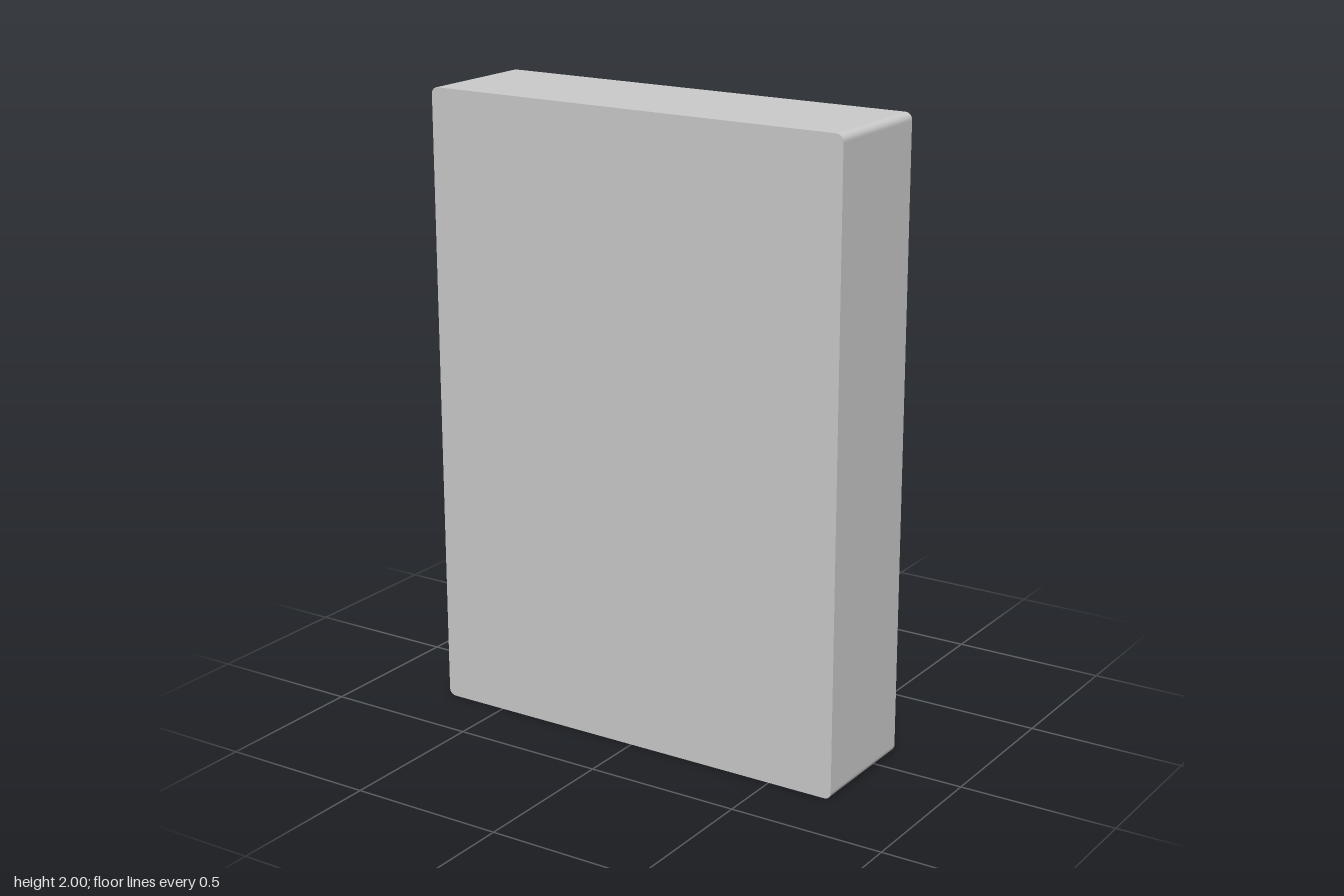
import * as THREE from 'three';

const material = new THREE.MeshStandardMaterial({ color: 0xcccccc });

// Rounded rectangle outline centred on (cx, cy)
function roundedRect(cx, cy, w, h, r, Type = THREE.Shape) {
  const s = new Type();
  const x = w / 2, y = h / 2, q = Math.PI / 2;
  s.absarc(cx + x - r, cy + y - r, r, 0, q);
  s.absarc(cx - x + r, cy + y - r, r, q, 2 * q);
  s.absarc(cx - x + r, cy - y + r, r, 2 * q, 3 * q);
  s.absarc(cx + x - r, cy - y + r, r, 3 * q, 4 * q);
  s.closePath();
  return s;
}

export function createModel() {
  const model = new THREE.Group();

  function add(name, geometry, x = 0, y = 0, z = 0) {
    const mesh = new THREE.Mesh(geometry, material);
    mesh.name = name;
    mesh.position.set(x, y, z);
    model.add(mesh);
    return mesh;
  }
  // Box given by its extents; zOut is the outer (most negative) face
  const slab = (name, x0, x1, y0, y1, zOut, zIn) =>
    add(name, new THREE.BoxGeometry(x1 - x0, y1 - y0, zIn - zOut),
      (x0 + x1) / 2, (y0 + y1) / 2, (zOut + zIn) / 2);
  // Disc whose axis runs along z
  const disc = (name, x, y, r, zOut, zIn) =>
    add(name, new THREE.CylinderGeometry(r, r, zIn - zOut, 32).rotateX(Math.PI / 2),
      x, y, (zOut + zIn) / 2);

  // Cabinet
  add('cabinet', new THREE.ExtrudeGeometry(roundedRect(0, 1, 1.43, 2, 0.022),
    { depth: 0.4, bevelEnabled: false, curveSegments: 3 }), 0, 0, -0.11);

  // Raised frame around the display
  const frame = roundedRect(0, 1.625, 1.3, 0.59, 0.1);
  frame.holes.push(roundedRect(0, 1.625, 1.22, 0.51, 0.075, THREE.Path));
  add('displayFrame', new THREE.ExtrudeGeometry(frame,
    { depth: 0.035, bevelEnabled: false, curveSegments: 4 }), 0, 0, -0.143);

  // Control panel and keypad plate
  slab('controlPanel', -0.23, 0.635, 0.06, 1.27, -0.13, -0.105);
  slab('keypadPlate', -0.153, 0.583, 0.6, 1.23, -0.15, -0.12);

  // Keypad: four columns, three rows
  const key = new THREE.ExtrudeGeometry(roundedRect(0, 0, 0.104, 0.084, 0.018), {
    depth: 0.03, bevelThickness: 0.008, bevelSize: 0.008, bevelSegments: 2, curveSegments: 4,
  });
  for (const x of [0, 0.145, 0.292, 0.44]) {
    for (const y of [0.825, 0.957, 1.089]) add('key', key, x, y, -0.172);
  }

  // Label plates
  slab('labelPlate', 0.383, 0.582, 0.446, 0.546, -0.148, -0.125);
  slab('labelPlate', 0.1, 0.298, 0.446, 0.546, -0.148, -0.125);

  // Rotary switch with slanted pointer, and push button
  disc('rotarySwitch', 0.465, 0.24, 0.083, -0.165, -0.12);
  const pointer = add('switchPointer', new THREE.BoxGeometry(0.035, 0.22, 0.03), 0.475, 0.195, -0.17);
  pointer.rotation.z = -0.5;
  disc('pushButton', 0.18, 0.24, 0.083, -0.165, -0.12);

  // Side panel with plate and round cover
  slab('sidePanel', -0.665, -0.265, 0.63, 1.265, -0.15, -0.105);
  slab('slotPlate', -0.645, -0.285, 1.055, 1.235, -0.156, -0.14);
  disc('roundCover', -0.465, 0.872, 0.137, -0.162, -0.14);

  // Wedge housing: side profile (outward depth, height) swept across x
  const profile = new THREE.Shape([[0.105, 0.07], [0.176, 0.07], [0.204, 0.59], [0.105, 0.59]]
    .map(([d, y]) => new THREE.Vector2(d, y)));
  add('wedgeHousing', new THREE.ExtrudeGeometry(profile, { depth: 0.41, bevelEnabled: false })
    .rotateY(Math.PI / 2), -0.67);

  // Stepped knob standing off the wedge
  disc('knobNeck', -0.465, 0.34, 0.08, -0.257, -0.222);
  disc('knobCap', -0.465, 0.34, 0.12, -0.294, -0.257);

  return model;
}
